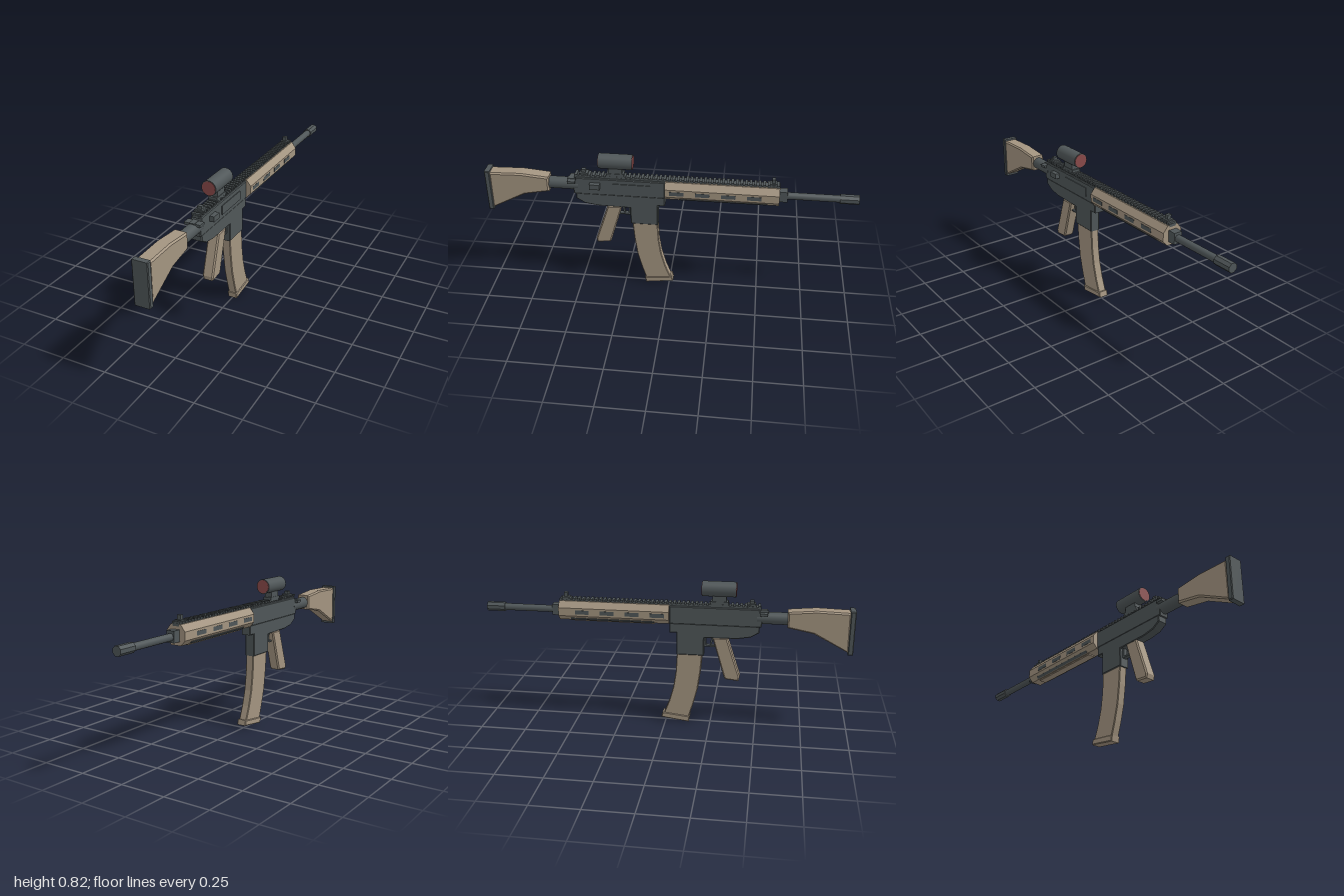
import * as THREE from 'three';

const mat = (name, color) => {
  const m = new THREE.MeshStandardMaterial({ color, flatShading: false });
  m.name = name;
  return m;
};

export function createModel() {
  const root = new THREE.Group();
  root.name = 'rifle';
  const dark = mat('gunmetal', 0x4f5658);
  const tan = mat('tan polymer', 0xa39480);
  const red = mat('red glass', 0x8a4a4a);

  const add = (name, geo, material, x = 0, y = 0, z = 0) => {
    const mesh = new THREE.Mesh(geo, material);
    mesh.name = name;
    mesh.position.set(x, y, z);
    root.add(mesh);
    return mesh;
  };
  // box given by half width and its y and z ranges
  const box = (name, material, hw, y0, y1, z0, z1, x = 0) =>
    add(name, new THREE.BoxGeometry(2 * hw, y1 - y0, z1 - z0), material, x, (y0 + y1) / 2, (z0 + z1) / 2);
  // side profile of [z, y] points, extruded across x with a small inward bevel
  const side = (name, material, pts, hw, bevel = 0.004) => {
    const shape = new THREE.Shape(pts.map(([z, y]) => new THREE.Vector2(-z, y)));
    const geo = new THREE.ExtrudeGeometry(shape, {
      depth: 2 * (hw - bevel), bevelEnabled: true, bevelThickness: bevel,
      bevelSize: bevel, bevelOffset: -bevel, bevelSegments: 1,
    });
    geo.translate(0, 0, -(hw - bevel)).rotateY(Math.PI / 2);
    return add(name, geo, material);
  };
  // cylinder along z
  const rod = (name, material, r, y, z0, z1, sides = 24) => {
    const geo = new THREE.CylinderGeometry(r, r, z1 - z0, sides);
    if (sides < 12) geo.rotateY(Math.PI / sides);
    return add(name, (sides < 12 ? geo.toNonIndexed() : geo).rotateX(Math.PI / 2), material, 0, y, (z0 + z1) / 2);
  };

  // stock
  side('buttPad', dark, [[1, 0.453], [1, 0.692], [0.972, 0.692], [0.972, 0.453]], 0.043, 0.004);
  side('stock', tan, [[0.975, 0.463], [0.975, 0.682], [0.8, 0.687], [0.65, 0.673],
    [0.65, 0.587], [0.79, 0.56]], 0.039, 0.008);
  rod('bufferTube', dark, 0.033, 0.628, 0.49, 0.67);

  // receiver
  side('upperReceiver', dark, [[0.515, 0.58], [0.52, 0.63], [0.5, 0.68], [0.02, 0.68], [0.02, 0.58]], 0.03);
  side('lowerReceiver', dark, [[0.505, 0.585], [0.505, 0.55], [0.46, 0.522], [0.39, 0.51], [0.21, 0.507],
    [0.21, 0.405], [0.06, 0.405], [0.06, 0.53], [0.022, 0.53], [0.022, 0.585]], 0.029);
  box('ejectionPort', dark, 0.003, 0.605, 0.655, 0.1, 0.3, 0.031);
  box('boltHandle', dark, 0.013, 0.625, 0.655, 0.37, 0.425, 0.042);
  box('chargingHandle', dark, 0.045, 0.648, 0.662, 0.505, 0.545);
  box('chargingHandleStem', dark, 0.015, 0.645, 0.665, 0.48, 0.55);

  // trigger and guard
  box('triggerGuardBottom', dark, 0.012, 0.453, 0.461, 0.205, 0.275);
  box('triggerGuardFront', dark, 0.012, 0.455, 0.51, 0.205, 0.22);
  const trigger = box('trigger', dark, 0.006, 0.463, 0.515, 0.245, 0.255);
  trigger.rotation.x = 0.2;

  // grip and magazine
  side('grip', tan, [[0.335, 0.512], [0.408, 0.29], [0.402, 0.265], [0.33, 0.273], [0.322, 0.285],
    [0.255, 0.512]], 0.031, 0.007);
  side('magazine', tan, [[0.201, 0.41], [0.193, 0.31], [0.178, 0.2], [0.155, 0.11], [0.127, 0.02],
    [-0.012, 0.04], [0.02, 0.125], [0.043, 0.21], [0.056, 0.3], [0.062, 0.41]], 0.024, 0.004);
  side('magazineBase', tan, [[0.137, 0.035], [0.131, 0.002], [-0.024, 0.023], [-0.017, 0.053]], 0.028);

  // eight sided handguard, extruded along z
  const half = [[0.03, 0.58], [0.056, 0.608], [0.056, 0.652], [0.03, 0.685]];
  const outline = [...half, ...half.map(([x, y]) => [-x, y]).reverse()];
  const guard = new THREE.ExtrudeGeometry(new THREE.Shape(outline.map((p) => new THREE.Vector2(...p))),
    { depth: 0.605, bevelEnabled: false });
  add('handguard', guard, tan, 0, 0, -0.585);
  box('handguardKeel', tan, 0.022, 0.573, 0.582, -0.52, -0.06);
  for (const s of [-1, 1]) {
    for (let i = 0; i < 4; i++) {
      const z = -0.043 - i * 0.137;
      box('handguardSlot', dark, 0.002, 0.619, 0.641, z - 0.038, z + 0.038, s * 0.0555);
    }
    // strip lying on the lower chamfer
    const strip = box('handguardStrip', dark, 0.003, 0.581, 0.597, -0.52, -0.06, s * 0.038);
    strip.rotation.z = -s * 0.75;
  }

  // top rail with teeth
  box('railBase', dark, 0.02, 0.675, 0.69, -0.585, 0.51);
  for (let i = 0; i < 46; i++) {
    const z = 0.5 - i * 0.0239;
    box('railTooth', dark, 0.025, 0.685, 0.698, z - 0.007, z + 0.007);
  }

  // iron sights
  box('rearSightBase', dark, 0.021, 0.695, 0.706, 0.435, 0.48);
  box('rearSight', dark, 0.012, 0.7, 0.722, 0.449, 0.471);
  box('frontSightBase', dark, 0.02, 0.69, 0.704, -0.57, -0.53);
  box('frontSight', dark, 0.011, 0.7, 0.727, -0.56, -0.541);

  // optic
  box('opticClamp', dark, 0.024, 0.69, 0.712, 0.24, 0.335);
  box('opticMount', dark, 0.021, 0.7, 0.742, 0.25, 0.325);
  rod('opticTube', dark, 0.041, 0.777, 0.195, 0.375, 32);
  rod('rearLens', red, 0.037, 0.777, 0.371, 0.377, 32);
  rod('frontLens', red, 0.037, 0.777, 0.193, 0.199, 32);

  // barrel
  rod('barrel', dark, 0.019, 0.628, -0.91, -0.57);
  box('gasBlock', dark, 0.023, 0.6, 0.66, -0.628, -0.58);
  const brake = rod('muzzleBrake', dark, 0.026, 0.628, -1, -0.9, 8);
  brake.geometry.computeVertexNormals();

  return root;
}
